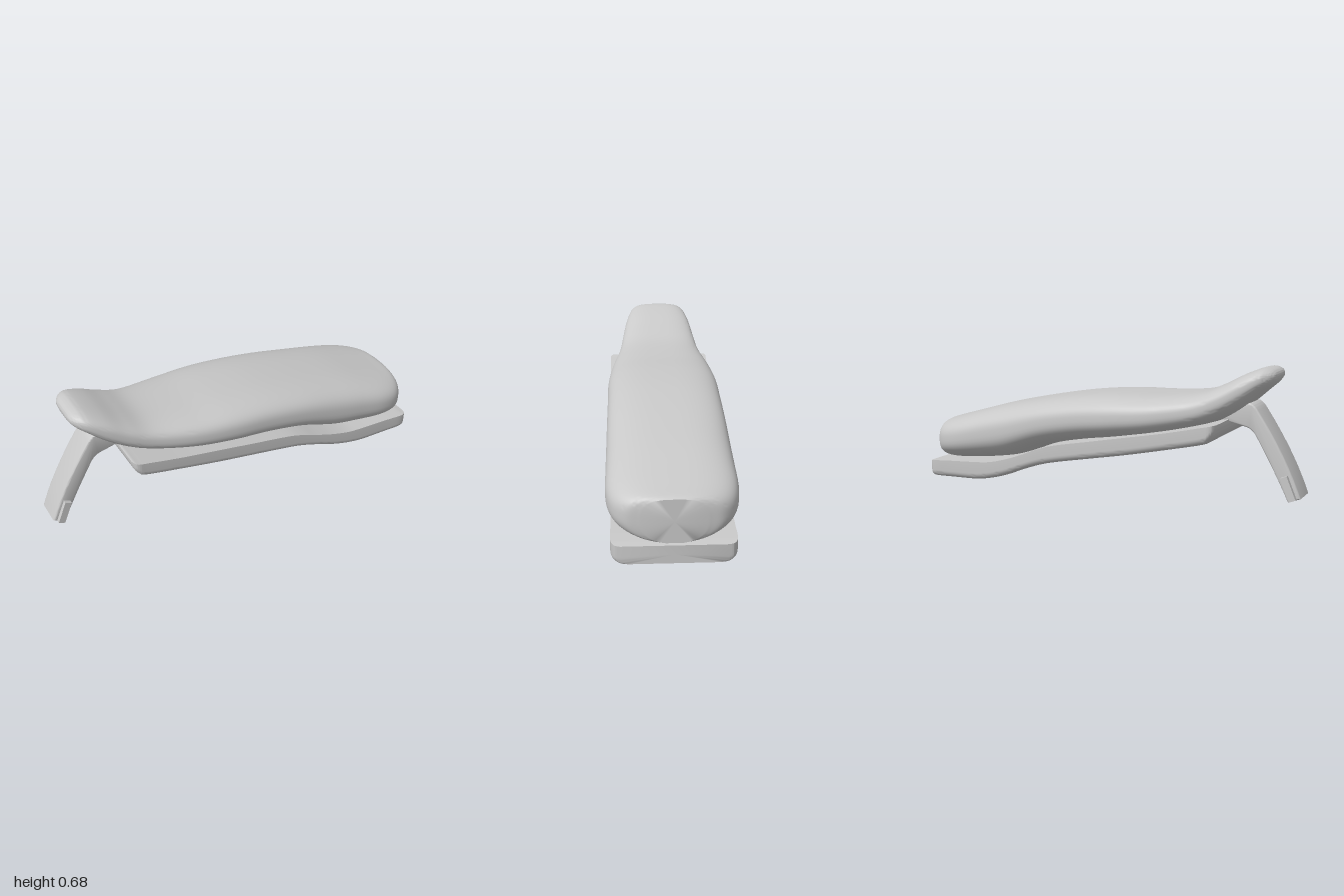
import * as THREE from 'three';
import { toCreasedNormals } from 'three/addons/utils/BufferGeometryUtils.js';

const grey = new THREE.MeshStandardMaterial({ color: 0xc8c8c8 });
grey.name = 'seat grey';

// Loft along x through rows of [x, top, bottom, halfWidth]; ring(top, bottom, halfWidth) gives [z, y] points
function loft(rows, ring, steps, crease) {
  const upper = new THREE.CatmullRomCurve3(rows.map(r => new THREE.Vector3(r[0], r[1], r[3])), false, 'catmullrom', 0.5);
  const lower = new THREE.CatmullRomCurve3(rows.map(r => new THREE.Vector3(r[0], r[2], 0)), false, 'catmullrom', 0.5);
  const pos = [], idx = [];
  let n = 0;
  for (let i = 0; i <= steps; i++) {
    const u = upper.getPoint(i / steps), l = lower.getPoint(i / steps);
    const pts = ring(u.y, l.y, u.z);
    n = pts.length;
    for (const [z, y] of pts) pos.push(u.x, y, z);
  }
  for (let i = 0; i < steps; i++) {
    for (let j = 0; j < n; j++) {
      const k = (j + 1) % n;
      const a = i * n + j, b = i * n + k, c = a + n, d = b + n;
      idx.push(a, c, b, b, c, d);
    }
  }
  // End caps
  const first = rows[0], last = rows[rows.length - 1], end = steps * n, c0 = pos.length / 3;
  pos.push(first[0], (first[1] + first[2]) / 2, 0, last[0], (last[1] + last[2]) / 2, 0);
  for (let j = 0; j < n; j++) {
    const k = (j + 1) % n;
    idx.push(c0, j, k, c0 + 1, end + k, end + j);
  }
  const g = new THREE.BufferGeometry();
  g.setAttribute('position', new THREE.Float32BufferAttribute(pos, 3));
  g.setIndex(idx);
  return toCreasedNormals(g, crease);
}

// Padded section: fuller crown above, rounder belly below
function paddedRing(top, bottom, w) {
  const mid = (top + bottom) / 2, h = (top - bottom) / 2, pts = [];
  for (let j = 0; j < 64; j++) {
    const a = j / 64 * Math.PI * 2, c = Math.cos(a), s = Math.sin(a);
    const e = 2 / (s >= 0 ? 3 : 2.3);
    pts.push([Math.sign(c) * w * Math.abs(c) ** e, mid + Math.sign(s) * h * Math.abs(s) ** e]);
  }
  return pts;
}

// Tray section: square upper edges, rounded lower edges
function trayRing(top, bottom, w) {
  const r = Math.min(0.035, (top - bottom) * 0.6), pts = [[w, top], [-w, top]];
  for (let j = 0; j <= 6; j++) {
    const a = Math.PI + j / 6 * Math.PI / 2;
    pts.push([-w + r + r * Math.cos(a), bottom + r + r * Math.sin(a)]);
  }
  for (let j = 0; j <= 6; j++) {
    const a = Math.PI * 1.5 + j / 6 * Math.PI / 2;
    pts.push([w - r + r * Math.cos(a), bottom + r + r * Math.sin(a)]);
  }
  return pts;
}

export function createModel() {
  const model = new THREE.Group();
  model.name = 'seat';
  const add = (name, geometry) => {
    const m = new THREE.Mesh(geometry, grey);
    m.name = name;
    model.add(m);
    return m;
  };

  // Cushion with upturned nose and blunt tail
  add('cushion', loft([
    [-0.865, 0.645, 0.635, 0.05], [-0.86, 0.658, 0.62, 0.085], [-0.84, 0.672, 0.595, 0.12],
    [-0.8, 0.675, 0.56, 0.152], [-0.72, 0.645, 0.49, 0.18], [-0.62, 0.592, 0.425, 0.2],
    [-0.5, 0.545, 0.375, 0.22], [-0.3, 0.523, 0.325, 0.26], [-0.1, 0.515, 0.29, 0.28],
    [0.1, 0.497, 0.26, 0.282], [0.3, 0.465, 0.215, 0.285], [0.5, 0.424, 0.14, 0.288],
    [0.65, 0.388, 0.11, 0.29], [0.8, 0.345, 0.092, 0.29], [0.9, 0.316, 0.085, 0.265],
    [0.96, 0.299, 0.083, 0.212], [0.98, 0.288, 0.085, 0.14],
  ], paddedRing, 96, 0.8));

  // Base tray following the underside of the cushion
  add('baseTray', loft([
    [-0.645, 0.425, 0.405, 0.235], [-0.635, 0.425, 0.375, 0.262], [-0.615, 0.42, 0.348, 0.27],
    [-0.58, 0.412, 0.328, 0.27], [-0.4, 0.37, 0.285, 0.27], [-0.2, 0.33, 0.24, 0.27],
    [0, 0.29, 0.2, 0.27], [0.2, 0.25, 0.16, 0.27], [0.3, 0.22, 0.135, 0.27],
    [0.4, 0.18, 0.1, 0.27], [0.5, 0.145, 0.06, 0.27], [0.6, 0.12, 0.03, 0.27],
    [0.7, 0.11, 0.013, 0.27], [0.85, 0.1, 0.006, 0.27], [0.95, 0.092, 0.002, 0.27],
    [0.985, 0.086, 0, 0.255], [0.995, 0.084, 0, 0.23],
  ], trayRing, 96, 0.6));

  // Bent mounting arm under the nose
  const s = new THREE.Shape();
  s.moveTo(-0.6, 0.45);
  s.lineTo(-0.69, 0.5);
  s.lineTo(-0.735, 0.502);
  s.quadraticCurveTo(-0.755, 0.502, -0.775, 0.475);
  s.quadraticCurveTo(-0.92, 0.27, -0.99, 0.085);
  s.lineTo(-0.945, 0.067);
  s.quadraticCurveTo(-0.88, 0.2, -0.79, 0.35);
  s.quadraticCurveTo(-0.765, 0.395, -0.73, 0.402);
  s.lineTo(-0.62, 0.425);
  const arm = new THREE.ExtrudeGeometry(s, {
    depth: 0.12, curveSegments: 14, bevelThickness: 0.01, bevelSize: 0.008, bevelSegments: 3,
  });
  arm.translate(0, 0, -0.06);
  add('mountingArm', toCreasedNormals(arm, 0.6));

  // Side tabs near the foot of the arm
  for (const side of [1, -1]) {
    const tab = add(side > 0 ? 'frontTab' : 'backTab', new THREE.BoxGeometry(0.034, 0.118, 0.03));
    tab.position.set(-0.945, 0.126, side * 0.075);
    tab.rotation.z = -0.4;
  }
  return model;
}
